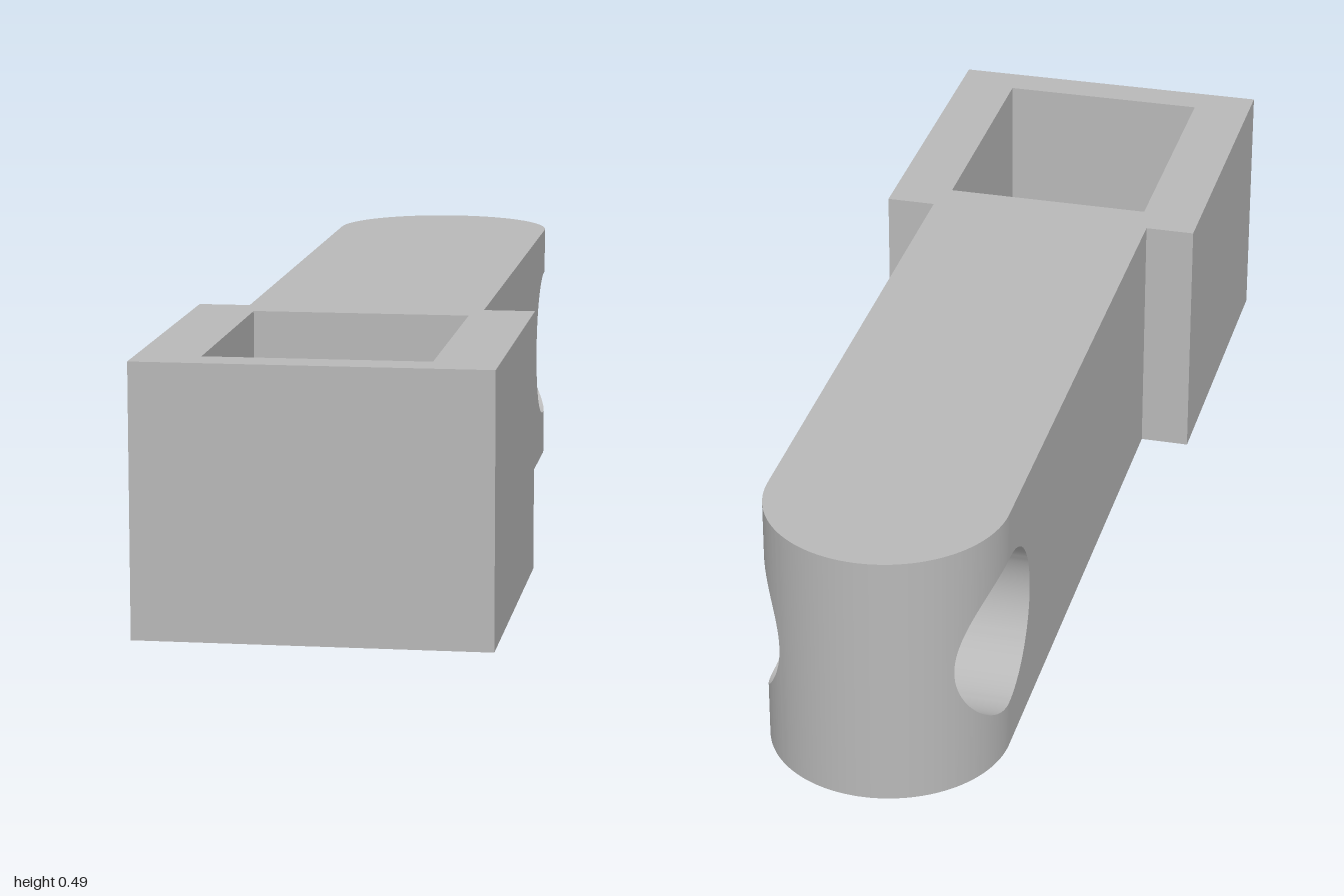
import * as THREE from 'three';
import { toCreasedNormals } from 'three/addons/utils/BufferGeometryUtils.js';

const H = 0.487;                     // overall height
const SHOULDER = 0.35;               // where the arm meets the socket
const ARM = 0.22, BORE = 0.152;      // arm half width / end radius, bore radius
const PIVOT = -1 + ARM;              // z of the rounded end and bore axis

// Arm half width and bore half height at a given z
const root = (r, d) => Math.sqrt(Math.max(0, r * r - d * d));
const halfWidth = (z) => (z > PIVOT ? ARM : root(ARM, z - PIVOT));
const halfBore = (z) => (Math.abs(z - PIVOT) > BORE - 1e-6 ? 0 : root(BORE, z - PIVOT));

// Loft the arm from stations along z, split above and below the bore
function armGeometry() {
  const stations = [SHOULDER];
  const n = 48, m = 16;
  for (let i = 0; i <= n; i++) stations.push(PIVOT + BORE * Math.cos((Math.PI * i) / n));
  const start = Math.asin(BORE / ARM);
  for (let i = 1; i <= m; i++) {
    stations.push(PIVOT - ARM * Math.sin(start + (Math.PI / 2 - start) * (i / m)));
  }

  const positions = [];
  const section = (z, upper) => {
    const w = halfWidth(z), b = halfBore(z);
    const y0 = upper ? H / 2 + b : 0;
    const y1 = upper ? H : H / 2 - b;
    return [[-w, y0, z], [w, y0, z], [w, y1, z], [-w, y1, z]];
  };
  for (const upper of [false, true]) {
    const boreSide = upper ? 0 : 2;
    for (let k = 0; k < stations.length - 1; k++) {
      const z0 = stations[k], z1 = stations[k + 1];
      const solid = halfBore(z0) === 0 && halfBore(z1) === 0;
      const s = section(z0, upper), t = section(z1, upper);
      for (let i = 0; i < 4; i++) {
        if (solid && i === boreSide) continue; // no inner face where the arm is solid
        const j = (i + 1) % 4;
        positions.push(...s[i], ...t[i], ...t[j], ...s[i], ...t[j], ...s[j]);
      }
    }
  }
  const geometry = new THREE.BufferGeometry();
  geometry.setAttribute('position', new THREE.Float32BufferAttribute(positions, 3));
  return toCreasedNormals(geometry, Math.PI / 6);
}

// Rectangular socket with a through opening, extruded upwards
function socketGeometry() {
  const rect = (PathType, x, z0, z1) => new PathType([
    new THREE.Vector2(-x, z0), new THREE.Vector2(x, z0),
    new THREE.Vector2(x, z1), new THREE.Vector2(-x, z1),
  ]);
  const shape = rect(THREE.Shape, 0.315, SHOULDER, 1);
  shape.holes.push(rect(THREE.Path, 0.2, 0.42, 0.93));
  const geometry = new THREE.ExtrudeGeometry(shape, { depth: H, bevelEnabled: false });
  return geometry.rotateX(Math.PI / 2).translate(0, H, 0);
}

export function createModel() {
  const grey = new THREE.MeshStandardMaterial({ color: 0xb8b8b8 });
  grey.name = 'light grey';

  const model = new THREE.Group();
  model.name = 'linkArm';
  const add = (name, geometry) => {
    const mesh = new THREE.Mesh(geometry, grey);
    mesh.name = name;
    model.add(mesh);
  };
  add('socket', socketGeometry());
  add('arm', armGeometry());
  return model;
}
